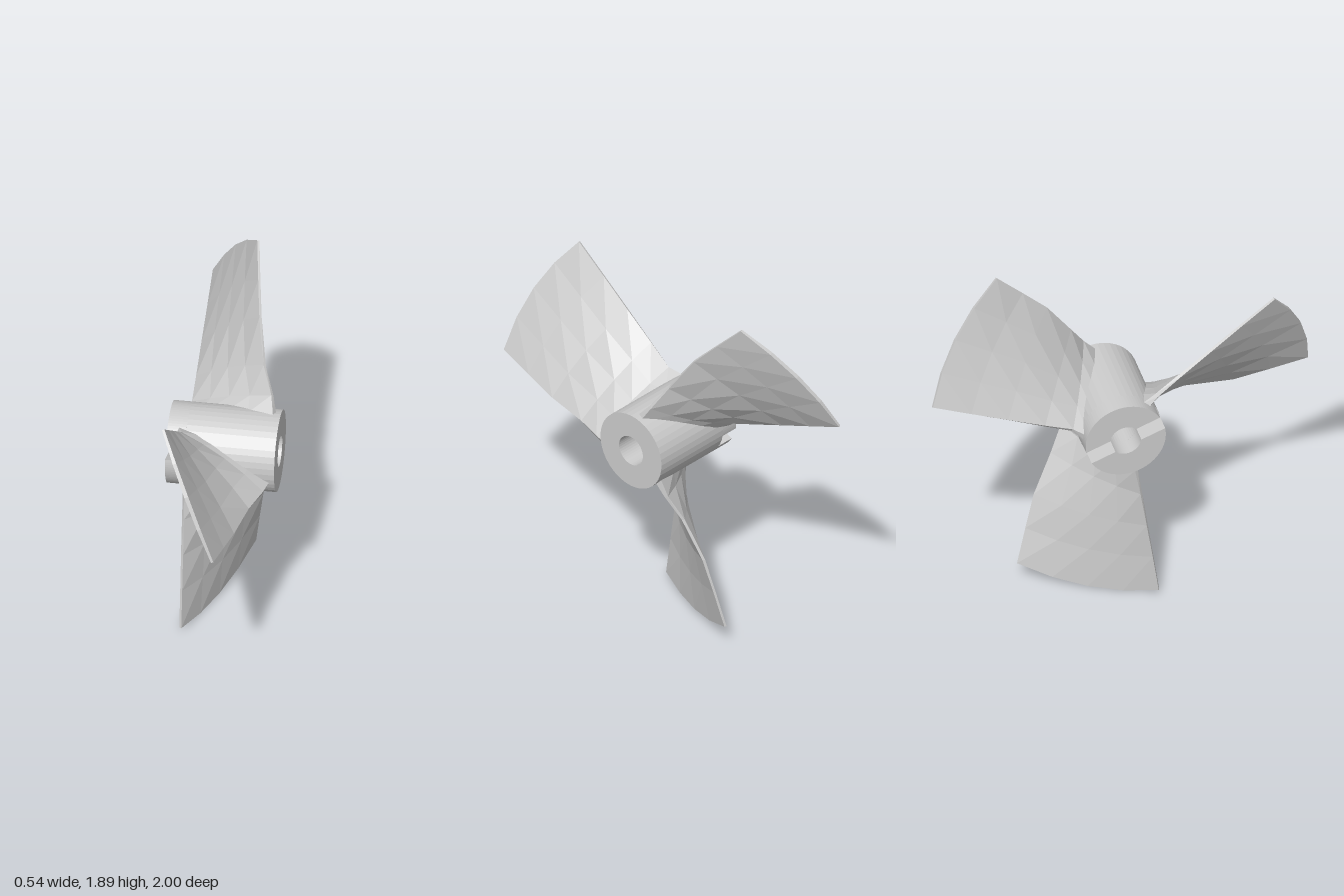
import * as THREE from 'three';

const HUB_Y = 1.03, HUB_Z = -0.03;
const R = 0.205, BORE = 0.08, SLOT = 0.0375; // SLOT is half the slot width
const X_BACK = -0.275, X_SLOT = -0.18, X_FRONT = 0.27;

const material = new THREE.MeshStandardMaterial({ color: 0xcccccc, flatShading: true });

function addMesh(parent, name, geometry) {
  const mesh = new THREE.Mesh(geometry, material);
  mesh.name = name;
  parent.add(mesh);
  return mesh;
}

// Extrudes a shape along the shaft axis (x) between two positions
function extrudeAlongX(shape, x0, x1) {
  const g = new THREE.ExtrudeGeometry(shape, { depth: x1 - x0, bevelEnabled: false, curveSegments: 20 });
  return g.rotateY(Math.PI / 2).translate(x0, 0, 0);
}

function ringShape() {
  const s = new THREE.Shape().absarc(0, 0, R, 0, Math.PI * 2, false);
  s.holes.push(new THREE.Path().absarc(0, 0, BORE, 0, Math.PI * 2, true));
  return s;
}

// Half ring left on either side of the cross slot
function jawShape(angle) {
  const o = Math.asin(SLOT / R), i = Math.asin(SLOT / BORE);
  const s = new THREE.Shape();
  s.absarc(0, 0, R, angle + o, angle + Math.PI - o, false);
  s.absarc(0, 0, BORE, angle + Math.PI - i, angle + i, true);
  s.closePath();
  return s;
}

// Blade edges from root to tip: [axial, tangential, radial]
const TRAILING = [
  [-0.23, -0.08, 0.17], [-0.2, -0.075, 0.25], [-0.2, -0.1, 0.4],
  [-0.2, -0.13, 0.6], [-0.2, -0.16, 0.8], [-0.2, -0.19, 1.01]];
const LEADING = [
  [0.24, 0.15, 0.12], [0.22, 0.19, 0.21], [0.17, 0.26, 0.34],
  [0.13, 0.36, 0.55], [0.105, 0.41, 0.73], [0.08, 0.46, 0.92]];
const EDGE_HALF = [0.02, 0.01, 0.008, 0.007, 0.006, 0.006];
const MID_HALF = [0.055, 0.03, 0.024, 0.02, 0.016, 0.01];

// Twisted blade lofted from closed sections, pointing down from the axis
function bladeGeometry() {
  const chordPoints = 5, n = chordPoints * 2;
  const positions = [], index = [];
  TRAILING.forEach((a, k) => {
    const b = LEADING[k], v = k / (TRAILING.length - 1);
    const dx = b[0] - a[0], dt = b[1] - a[1], len = Math.hypot(dx, dt);
    for (let j = 0; j < n; j++) {
      const front = j < chordPoints;
      const s = (front ? j : n - 1 - j) / (chordPoints - 1);
      const bulge = 4 * s * (1 - s);
      const half = (front ? 1 : -1) * THREE.MathUtils.lerp(EDGE_HALF[k], MID_HALF[k], bulge);
      const x = a[0] + dx * s - (dt / len) * half;
      const t = a[1] + dt * s + (dx / len) * half;
      const u = THREE.MathUtils.lerp(a[2], b[2], s) + 0.055 * bulge * v * v;
      positions.push(x, -u, -t);
    }
  });
  const last = (TRAILING.length - 1) * n;
  for (let k = 0; k < last; k += n) {
    for (let j = 0; j < n; j++) {
      const p = k + j, q = k + (j + 1) % n;
      index.push(p, q, q + n, p, q + n, p + n);
    }
  }
  // Tip cap
  for (let j = 0; j < chordPoints - 1; j++) {
    const p = last + j, q = last + n - 1 - j;
    index.push(p, p + 1, q - 1, p, q - 1, q);
  }
  const g = new THREE.BufferGeometry();
  g.setAttribute('position', new THREE.Float32BufferAttribute(positions, 3));
  g.setIndex(index);
  const flat = g.toNonIndexed();
  flat.computeVertexNormals();
  return flat;
}

export function createModel() {
  const model = new THREE.Group();
  model.name = 'propeller';
  const rotor = new THREE.Group();
  rotor.name = 'rotor';
  rotor.position.set(0, HUB_Y, HUB_Z);
  model.add(rotor);

  // Hub with bore, and the slotted drive end
  addMesh(rotor, 'hub', extrudeAlongX(ringShape(), X_SLOT, X_FRONT));
  const slotAngle = THREE.MathUtils.degToRad(159);
  for (let i = 0; i < 2; i++) {
    addMesh(rotor, 'slottedEnd' + (i + 1), extrudeAlongX(jawShape(slotAngle + i * Math.PI), X_BACK, X_SLOT));
  }

  // Three blades
  const blade = bladeGeometry();
  for (let i = 0; i < 3; i++) {
    addMesh(rotor, 'blade' + (i + 1), blade).rotation.x = (i * Math.PI * 2) / 3;
  }
  return model;
}
